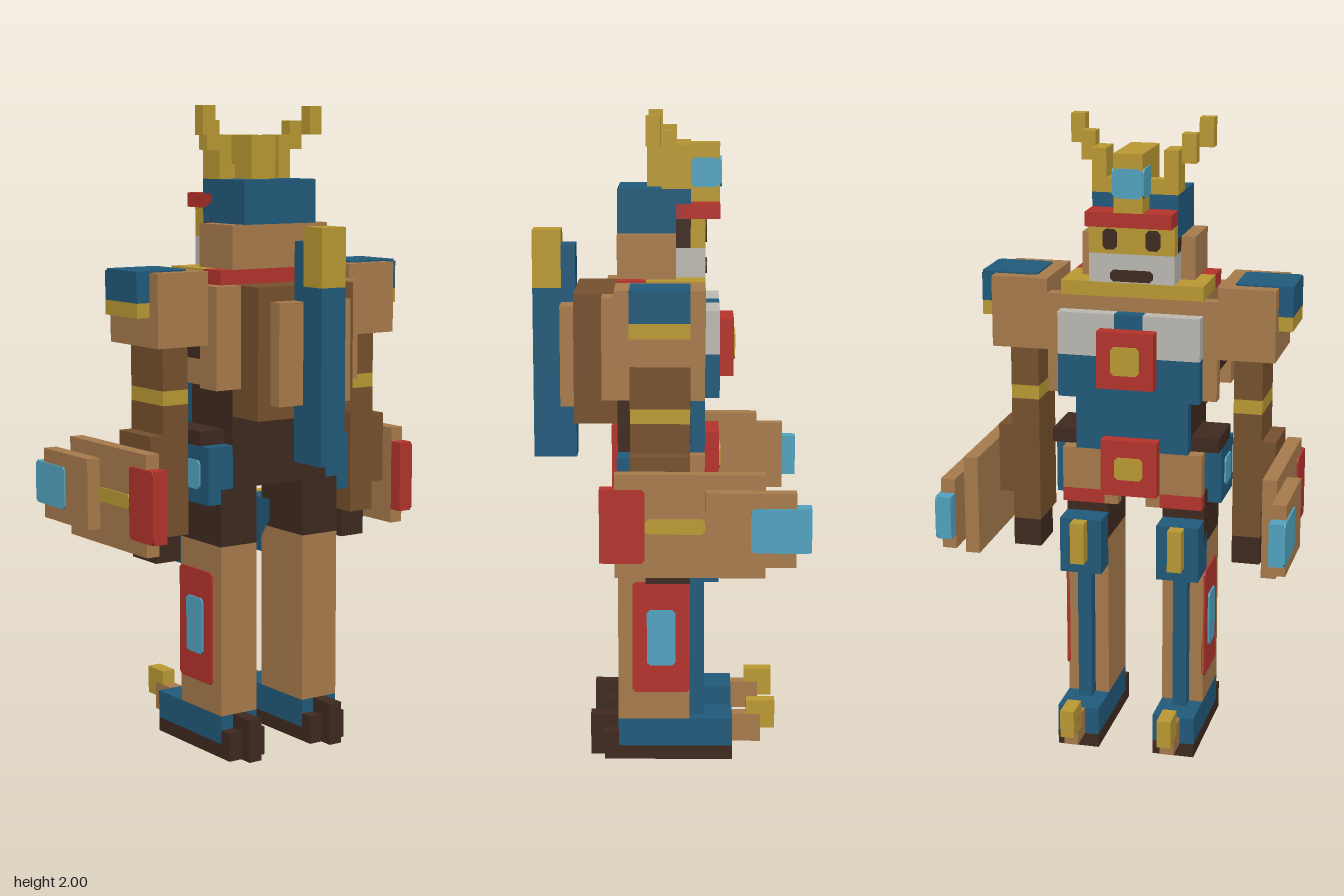
import * as THREE from 'three';

const V = 2 / 45; // one block
const T = 0.12;   // half thickness of a painted plate, in blocks

const paint = (name, hex) => Object.assign(new THREE.MeshStandardMaterial({ color: hex }), { name });

export function createModel() {
  const tan = paint('tan', 0xa87b4c), brown = paint('brown', 0x76512d), dark = paint('dark', 0x3f2a20);
  const blue = paint('blue', 0x215a7b), gold = paint('gold', 0xbb9a33), red = paint('red', 0xb5332c);
  const cyan = paint('cyan', 0x52a4c0), grey = paint('grey', 0xbdbab3);
  const model = new THREE.Group();
  model.name = 'armouredRobot';

  const add = (name, mat, geo, x, y, z) => {
    const m = new THREE.Mesh(geo, mat);
    m.name = name;
    m.position.set(x * V, y * V, z * V);
    model.add(m);
  };
  // Block between two corners, in block units
  const box = (name, mat, x0, x1, y0, y1, z0, z1) =>
    add(name, mat, new THREE.BoxGeometry((x1 - x0) * V, (y1 - y0) * V, (z1 - z0) * V),
      (x0 + x1) / 2, (y0 + y1) / 2, (z0 + z1) / 2);
  // The same block on both sides
  const pair = (name, mat, x0, x1, ...r) => {
    box(name + 'Left', mat, x0, x1, ...r);
    box(name + 'Right', mat, -x1, -x0, ...r);
  };
  // Thin painted plate with clipped corners, facing along an axis
  const plate = (name, mat, axis, w, h, x, y, z) => {
    const a = w * V / 2, b = h * V / 2, c = 0.22 * V;
    const s = new THREE.Shape([[-a + c, -b], [a - c, -b], [a, -b + c], [a, b - c],
      [a - c, b], [-a + c, b], [-a, b - c], [-a, -b + c]].map(p => new THREE.Vector2(...p)));
    const g = new THREE.ExtrudeGeometry(s, { depth: 2 * T * V, bevelEnabled: false });
    g.translate(0, 0, -T * V);
    if (axis === 'x') g.rotateY(Math.PI / 2);
    if (axis === 'y') g.rotateX(-Math.PI / 2);
    add(name, mat, g, x, y, z);
  };
  const platePair = (name, mat, axis, w, h, x, y, z) => {
    plate(name + 'Left', mat, axis, w, h, x, y, z);
    plate(name + 'Right', mat, axis, w, h, -x, y, z);
  };

  // Feet
  pair('sole', dark, 2, 5, 0, 1, -4.5, 3.5);
  pair('foot', blue, 2, 5, 1, 3, -4.5, 3.5);
  pair('heelSpur', dark, 3, 4, 0, 3, 3.5, 5.5);
  for (const x of [2, 4]) pair('heelClaw', dark, x, x + 1, 0, 2, 3.5, 4.5);
  pair('toe', tan, 3, 4, 1, 3, -6.5, -4.5);
  pair('toeTip', gold, 3, 4, 2, 4, -7.5, -5.5);

  // Legs
  pair('leg', tan, 2, 5, 3, 15, -1.5, 3.5);
  pair('thigh', dark, 2, 5, 15, 19, -1.5, 3.5);
  pair('shinGuard', blue, 3, 4, 3, 13, -2.5, -1.5);
  pair('kneeGuard', blue, 2, 5, 13, 17, -3.5, -0.5);
  pair('kneeSpike', gold, 3, 4, 14, 17, -4.5, -3.5);
  platePair('legPanel', red, 'x', 4, 8, 5, 9, 0.5);
  platePair('legWindow', cyan, 'x', 2, 4, 5.12, 9, 0.5);

  // Pelvis and belt
  box('pelvis', dark, -4, 4, 19, 24, -1.5, 3.5);
  box('hips', dark, -6, 6, 22, 23, -1.5, 2.5);
  box('belt', tan, -5, 5, 19, 22, -2.5, -1.5);
  pair('beltTab', tan, 1, 2, 18, 19, -2.5, -1.5);
  pair('beltTrim', red, 2, 5, 18, 19, -2.5, -1.5);
  box('buckle', red, -2, 2, 19, 23, -3.5, -2.5);
  plate('buckleStone', gold, 'z', 2, 1.6, 0, 21, -3.5);
  pair('pouch', blue, 4, 6, 18, 22, -0.5, 3.5);
  platePair('pouchMark', cyan, 'x', 2, 2, 6, 20, 1.5);

  // Torso
  box('waist', dark, -4, 4, 23, 26, -1.5, 3.5);
  box('abdomen', blue, -4, 4, 22, 26, -2.5, -1.5);
  box('torso', tan, -5, 5, 26, 33, -2.5, 3.5);
  box('chestPlate', blue, -5, 5, 26, 29, -3.5, -2.5);
  box('chestCentre', blue, -1, 1, 29, 32, -3.5, -2.5);
  pair('chestCorner', grey, 1, 5, 29, 32, -3.5, -2.5);
  box('chestBadge', red, -2, 2, 27, 31, -4.5, -3.5);
  plate('badgeStone', gold, 'z', 2, 2, 0, 29, -4.5);
  pair('backStrap', tan, 4, 6, 26, 33, 2.5, 4.5);
  pair('frontStrap', tan, 5, 6, 26, 33, -2.5, -1.5);
  pair('shoulderJoint', dark, 5, 6, 28, 32, -1.5, 2.5);
  box('collarFront', gold, -5, 5, 33, 34, -2.5, 1.5);
  box('collarBack', red, -5, 5, 33, 34, 1.5, 3.5);

  // Backpack and sheathed blade
  box('backpack', brown, -4, 4, 24, 33, 3.5, 6.5);
  pair('backpackPanel', tan, 1, 3, 25, 32, 6.5, 7.5);
  box('sheath', blue, -1, 1, 21, 33, 6.5, 9.5);
  box('sheathTop', blue, -1, 1, 33, 36, 6.5, 7.5);
  box('bladeHandle', gold, -1, 1, 33, 37, 7.5, 9.5);

  // Shoulders and arms
  pair('shoulder', tan, 6, 10, 29, 34, -2.5, 3.5);
  pair('shoulderPad', blue, 10, 11, 32, 34, -1.5, 2.5);
  pair('shoulderTrim', gold, 10, 11, 31, 32, -1.5, 2.5);
  platePair('shoulderTop', blue, 'y', 4, 4, 9, 34, 0.5);
  pair('upperArm', brown, 7, 9, 26, 29, -1.5, 2.5);
  pair('armBand', gold, 7, 9, 25, 26, -1.5, 2.5);
  pair('elbow', brown, 7, 9, 23, 25, -1.5, 2.5);
  pair('forearm', brown, 7, 10, 18, 23, -1.5, 2.5);
  pair('wrist', brown, 7, 9, 16, 18, -1.5, 2.5);
  pair('hand', dark, 7, 9, 14, 16, -1.5, 1.5);

  // Forearm shields
  pair('shieldBase', tan, 10, 11, 15, 22, -6.5, 3.5);
  pair('shieldFin', tan, 11, 12, 16, 21, -8.5, -2.5);
  pair('shieldEnd', red, 10, 11, 16, 21, 3.5, 4.5);
  platePair('shieldEndPanel', red, 'x', 3, 5, 11, 18.5, 3);
  platePair('shieldStripe', gold, 'x', 4, 1, 11, 18.5, -0.5);
  pair('shieldTip', cyan, 11, 12, 17, 20, -9.5, -8.5);
  platePair('shieldTipPanel', cyan, 'x', 4, 3, 12, 18.5, -7.5);

  // Head
  box('neckGuard', tan, -4, 4, 34, 37, -0.5, 3.5);
  box('helmet', blue, -3, 3, 37, 40, -1.5, 3.5);
  box('headCore', dark, -3, 3, 36, 38, -1.5, -0.5);
  box('face', gold, -3, 3, 36, 38, -2.5, -1.5);
  platePair('eye', dark, 'z', 1, 1.4, 1.5, 37, -2.5);
  box('jaw', grey, -3, 3, 34, 36, -2.5, -0.5);
  plate('mouthGrille', dark, 'z', 3, 0.8, 0, 34.5, -2.5);
  box('visor', red, -3, 3, 38, 39, -3.5, -0.5);

  // Crest and antlers
  box('crestBase', gold, -1, 1, 39, 40, -3.5, -1.5);
  box('crest', gold, -1, 1, 40, 43, -3.5, 1.5);
  plate('crestGem', cyan, 'z', 2, 2, 0, 41, -3.5);
  platePair('crestGemSide', cyan, 'x', 2, 2, 1, 41, -2.5);
  pair('antlerRoot', gold, 1, 2, 40, 41, -1.5, -0.5);
  pair('antlerStem', gold, 2, 3, 40, 43, -1.5, 0.5);
  pair('antlerBranch', gold, 3, 4, 42, 44, -0.5, 0.5);
  pair('antlerTip', gold, 4, 5, 43, 45, 0.5, 1.5);

  return model;
}
